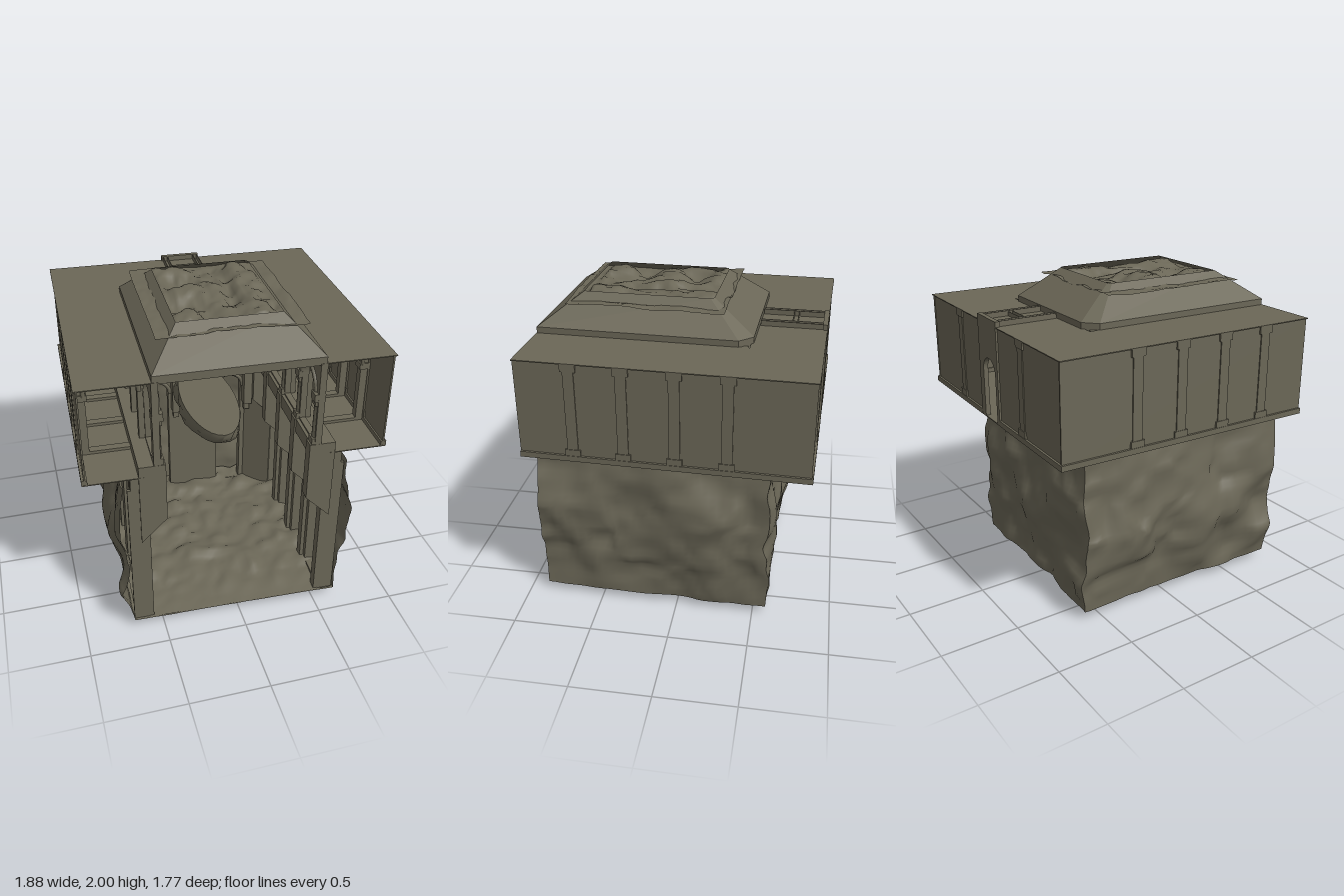
import * as THREE from 'three';

const stone = new THREE.MeshStandardMaterial({ color: 0x6b6757, side: THREE.DoubleSide });
stone.name = 'olive stone';

// seeded value noise in -1..1
const hash = (x, y, z) => {
  let h = Math.imul(x, 374761393) ^ Math.imul(y, 668265263) ^ Math.imul(z, 2147424926);
  h = Math.imul(h ^ (h >>> 13), 1274126177);
  return ((h ^ (h >>> 16)) >>> 0) / 2147483648 - 1;
};
function noise(x, y, z) {
  const i = [x, y, z].map(Math.floor);
  const f = [x - i[0], y - i[1], z - i[2]].map(t => t * t * (3 - 2 * t));
  let s = 0;
  for (let c = 0; c < 8; c++) {
    const b = [c & 1, (c >> 1) & 1, c >> 2];
    s += hash(i[0] + b[0], i[1] + b[1], i[2] + b[2]) *
      b.reduce((w, v, k) => w * (v ? f[k] : 1 - f[k]), 1);
  }
  return s;
}
const rough = (x, y, z) => 0.75 * noise(x * 4, y * 4, z * 4) + 0.35 * noise(x * 11, y * 11, z * 11);

const PIERS = [0.53, 0.23, -0.07, -0.37];
const BAYS = [0.68, 0.38, 0.08, -0.22];

export function createModel() {
  const root = new THREE.Group();
  root.name = 'cutawayHall';
  const hall = new THREE.Group();
  hall.name = 'hall';
  hall.rotation.y = -0.033;
  root.add(hall);

  const add = (name, geo, x = 0, y = 0, z = 0, ry = 0) => {
    const m = new THREE.Mesh(geo, stone);
    m.name = name;
    m.position.set(x, y, z);
    m.rotation.y = ry;
    hall.add(m);
    return m;
  };
  // box given by its extents
  const box = (name, x0, x1, y0, y1, z0, z1) =>
    add(name, new THREE.BoxGeometry(x1 - x0, y1 - y0, z1 - z0), (x0 + x1) / 2, (y0 + y1) / 2, (z0 + z1) / 2);
  const polygon = pts => new THREE.Shape(pts.map(p => new THREE.Vector2(...p)));
  const extrude = (shape, depth) => new THREE.ExtrudeGeometry(shape, { depth, bevelEnabled: false, curveSegments: 14 });
  // wall panel with round-arched openings [centre, halfWidth, bottom, spring]
  const archPanel = (u0, u1, y0, y1, arches, depth) => {
    const s = polygon([[u0, y0], [u1, y0], [u1, y1], [u0, y1]]);
    for (const [c, r, b, t] of arches) {
      const h = new THREE.Path();
      h.moveTo(c - r, b);
      h.lineTo(c - r, t);
      h.absarc(c, t, r, Math.PI, 0, true);
      h.lineTo(c + r, b);
      h.closePath();
      s.holes.push(h);
    }
    return extrude(s, depth);
  };
  const trim = r => new THREE.TorusGeometry(r, 0.014, 6, 18, Math.PI);
  const column = (x, z) => {
    add('columnShaft', new THREE.CylinderGeometry(0.02, 0.023, 0.3, 12), x, 1.4, z);
    box('columnBase', x - 0.03, x + 0.03, 1.24, 1.28, z - 0.03, z + 0.03);
    box('columnCapital', x - 0.033, x + 0.033, 1.53, 1.58, z - 0.033, z + 0.033);
    box('columnNeck', x - 0.026, x + 0.026, 1.5, 1.53, z - 0.026, z + 0.026);
  };

  // rock shell: sides, back and underside, open in front and on top
  const rock = new THREE.BoxGeometry(1.38, 1.04, 1.446, 34, 28, 34);
  const faces = [];
  for (const g of rock.groups) {
    if (g.materialIndex === 2 || g.materialIndex === 4) continue;
    for (let k = g.start; k < g.start + g.count; k++) faces.push(rock.index.getX(k));
  }
  rock.setIndex(faces);
  rock.clearGroups();
  const p = rock.attributes.position;
  for (let k = 0; k < p.count; k++) {
    const x = p.getX(k), y = p.getY(k) + 0.58, z = p.getZ(k) + 0.133;
    const t = (y - 0.06) / 1.04, mid = Math.sin(Math.PI * t);
    const back = Math.min(1, (0.856 - z) * 4);
    const inner = Math.min(1, (0.69 - Math.abs(x)) * 8, (0.856 - z) * 8, (z + 0.59) * 8);
    const drop = t < 0.01 ? 0.06 * Math.max(0, inner) * Math.min(0.9, Math.abs(rough(x * 2, 8, z * 2)) + 0.15) : 0;
    p.setXYZ(k,
      x * (0.97 + 0.07 * mid) + (0.035 + 0.04 * mid) * rough(x, y, z),
      y - drop + (t > 0.98 ? 0.012 : t < 0.01 ? 0.008 : 0.03) * rough(x + 9, y * 2, z),
      z + back * (0.065 * rough(x, y + 7, z) - (z < 0 ? 0.02 * mid : 0)));
  }
  rock.computeVertexNormals();
  add('rockShell', rock);

  // rough horizontal sheet
  const sheet = (name, w, d, x, z, height) => {
    const g = new THREE.PlaneGeometry(w, d, 40, 44).rotateX(-Math.PI / 2).translate(x, 0, z);
    const a = g.attributes.position;
    for (let k = 0; k < a.count; k++) a.setY(k, height(a.getX(k), a.getZ(k)));
    g.computeVertexNormals();
    add(name, g);
  };
  sheet('rockFloor', 1.3, 1.42, 0, 0.144, (x, z) => {
    const inward = Math.min(1, (0.854 - z) * 3);
    return 0.065 + inward * (0.03 + 0.06 * Math.abs(rough(x * 1.4, 3, z * 1.4)));
  });

  // lower hall walls with tall niches, and the gallery on corbels
  const lowSide = archPanel(-0.5, 0.845, 0.06, 1.17, BAYS.map(c => [c, 0.09, 0.1, 0.93]), 0.06);
  const highSide = archPanel(-0.42, 0.854, 1.2, 1.78, BAYS.map(c => [c, 0.115, 1.25, 1.57]), 0.04);
  for (const s of [-1, 1]) {
    add('lowerSideWall', lowSide, s > 0 ? 0.62 : -0.56, 0, 0, -Math.PI / 2);
    add('upperArcade', highSide, s > 0 ? 0.5 : -0.46, 0, 0, -Math.PI / 2);
    const span = (name, a, b, y0, y1, z0, z1) =>
      box(name, Math.min(s * a, s * b), Math.max(s * a, s * b), y0, y1, z0, z1);
    span('frontJamb', 0.56, 0.66, 0.065, 1.08, 0.825, 0.845);
    span('galleryLedge', 0.44, 0.59, 1.15, 1.24, -0.44, 0.852);
    for (const c of BAYS) {
      add('nicheTrim', trim(0.102), s * 0.555, 0.93, c, Math.PI / 2);
      add('arcadeTrim', trim(0.128), s * 0.457, 1.57, c, Math.PI / 2);
    }
    const corbel = extrude(polygon([[s * 0.59, 0.69], [s * 0.43, 0.85], [s * 0.43, 1.24], [s * 0.59, 1.24]]), 0.07);
    const rib = archPanel(s > 0 ? 0.5 : -0.9, s > 0 ? 0.9 : -0.5, 1.17, 1.775, [[s * 0.685, 0.15, 1.19, 1.57]], 0.05);
    for (const z of [0.82, ...PIERS]) {
      add('corbel', corbel, 0, 0, z - 0.035);
      column(s * 0.47, z);
      span('lowerPier', 0.535, 0.58, 0.07, 0.9, z - 0.035, z + 0.025);
      span('outerPier', 0.6, 0.64, 1.06, 1.17, z - 0.03, z + 0.025);
    }
    for (const z of PIERS) {
      add('corridorRib', rib, 0, 0, z - 0.025);
      add('ribTrim', trim(0.16), s * 0.685, 1.57, z + 0.028);
      span('ribImpost', 0.825, 0.89, 1.54, 1.58, z - 0.035, z + 0.035);
      // outer pilaster with base and cap
      span('pilaster', 0.88, 0.907, 1.17, 1.78, z - 0.032, z + 0.032);
      span('pilasterBase', 0.88, 0.911, 1.17, 1.24, z - 0.045, z + 0.045);
      span('pilasterCap', 0.88, 0.911, 1.73, 1.778, z - 0.045, z + 0.045);
    }
    // outer walls
    span('outerSideWall', 0.89, 0.9, 1.165, 1.778, -0.85, 0.854);
    span('sidePlinth', 0.88, 0.914, 1.165, 1.2, -0.858, 0.854);
    span('backPlinth', 0.13, 0.914, 1.165, 1.2, -0.858, -0.83);
    span('backPilaster', 0.4, 0.46, 1.17, 1.778, -0.851, -0.83);
    span('backPilasterBase', 0.386, 0.474, 1.17, 1.24, -0.855, -0.83);
    span('backPilasterCap', 0.386, 0.474, 1.73, 1.778, -0.855, -0.83);
    // slanted corners at the back of the hall
    add('cornerWall', new THREE.BoxGeometry(0.24, 1.1, 0.03), s * 0.475, 0.61, -0.39, -s * 0.7);
    add('upperCornerWall', new THREE.BoxGeometry(0.13, 0.6, 0.03), s * 0.44, 1.475, -0.4, -s * 0.7);
    // back wall dressings
    for (const x of [0.13, 0.4]) {
      column(s * x, -0.39);
      span('backCorbel', x - 0.03, x + 0.03, 0.8, 1.24, -0.45, -0.37);
      span('corbelTip', x - 0.02, x + 0.02, 0.74, 0.8, -0.45, -0.4);
    }
    add('backNicheTrim', trim(0.102), s * 0.27, 0.93, -0.435);
    add('backArcadeTrim', trim(0.13), s * 0.27, 1.58, -0.4);
    for (const d of [-0.06, 0.06]) {
      const sag = new THREE.QuadraticBezierCurve3(
        new THREE.Vector3(-0.06, 0, 0), new THREE.Vector3(0, -0.13, 0), new THREE.Vector3(0.06, 0, 0));
      add('drape', new THREE.TubeGeometry(sag, 10, 0.009, 5), s * 0.27 + d, 1.66, -0.42);
    }
  }
  add('lowerBackWall', archPanel(-0.42, 0.42, 0.06, 1.165, [-0.27, 0.27].map(c => [c, 0.09, 0.1, 0.93]), 0.06), 0, 0, -0.5);
  add('upperBackWall', archPanel(-0.42, 0.42, 1.15, 1.78,
    [[-0.27, 0.115, 1.25, 1.57], [0, 0.1, 1.166, 1.48], [0.27, 0.115, 1.25, 1.57]], 0.04), 0, 0, -0.45);

  // back wall with doorway and portal
  const door = [[-0.01, 0.085, 1.166, 1.48]];
  add('outerBackWall', archPanel(-0.9, 0.9, 1.165, 1.778, door, 0.01), 0, 0, -0.845);
  add('portal', archPanel(-0.13, 0.13, 1.165, 1.815, door, 0.03), 0, 0, -0.857);
  for (const x of [-0.12, -0.09, 0.09, 0.12]) box('portalRail', x - 0.002, x + 0.002, 1.775, 1.815, -0.85, -0.45);
  for (const z of [-0.67, -0.64]) box('portalCrossbar', -0.09, 0.09, 1.775, 1.81, z - 0.002, z + 0.002);

  // floor and roof slabs round the hall, open to the front
  const slab = (name, top, half, back) => {
    const m = add(name, extrude(polygon([[-0.913, -0.856], [0.913, -0.856], [0.913, 0.856], [half, 0.856],
      [half, back], [-half, back], [-half, 0.856], [-0.913, 0.856]]), 0.006), 0, top, 0);
    m.rotation.x = Math.PI / 2;
  };
  slab('corridorFloor', 1.171, 0.56, -0.44);
  slab('roof', 1.782, 0.49, -0.43);

  // hipped lantern over the hall: loops of [y, half width, back, front, corner cut]
  const rings = [[1.77, 0.495, -0.445, 0.852, 0.08], [1.82, 0.495, -0.445, 0.852, 0.08],
    [2.0, 0.31, -0.19, 0.6, 0.02]].map(([y, w, b, f, c]) =>
    [[-w, f], [w, f], [w, b + c], [w - c, b], [c - w, b], [-w, b + c]].map(([x, z]) => [x, y, z]));
  const verts = [];
  for (let r = 0; r < 2; r++) for (let k = 0; k < 6; k++) {
    const n = (k + 1) % 6, a = rings[r][k], b = rings[r][n], c = rings[r + 1][n], d = rings[r + 1][k];
    verts.push(...a, ...b, ...c, ...a, ...c, ...d);
  }
  const lantern = new THREE.BufferGeometry();
  lantern.setAttribute('position', new THREE.Float32BufferAttribute(verts, 3));
  lantern.computeVertexNormals();
  add('lanternRoof', lantern);
  sheet('lanternRock', 0.88, 0.96, 0, 0.21, (x, z) => {
    const inside = Math.abs(x) < 0.32 && z > -0.2 && z < 0.6;
    return Math.min(2, (inside ? 1.97 : 1.957) + (inside ? 0.06 : 0.014) * rough(x * 2.4, 5, z * 1.5));
  });

  // hanging rock ledge reaching from the back wall into the hall
  const ledge = new THREE.CylinderGeometry(1, 0.22, 1, 28, 12);
  const q = ledge.attributes.position;
  for (let k = 0; k < q.count; k++) {
    const t = 0.5 - q.getY(k), x = q.getX(k), z = q.getZ(k);
    const n = t > 0.02 ? rough(x, t * 2, z) : 0;
    const belly = 1 + 0.25 * Math.sin(Math.PI * Math.min(1, t * 1.6));
    q.setXYZ(k, x * 0.18 * belly + 0.03 * n - 0.02 * t, 1.165 - 0.36 * t + 0.02 * n,
      z * 0.47 * belly + 0.06 - 0.18 * t + 0.05 * n);
  }
  ledge.computeVertexNormals();
  add('rockLedge', ledge);

  return root;
}
